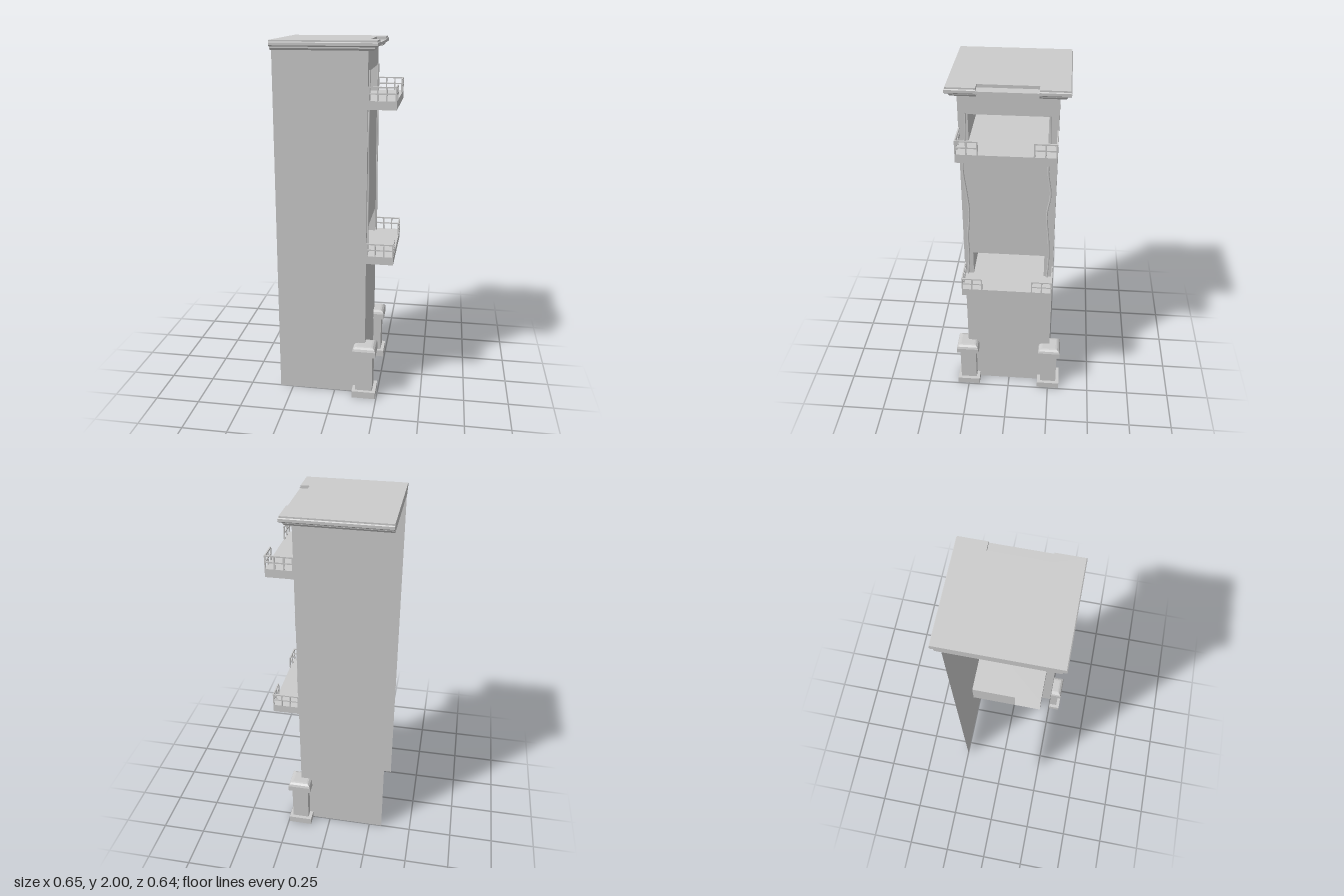
import * as THREE from 'three';

const material = new THREE.MeshStandardMaterial({ color: 0xcccccc, side: THREE.DoubleSide });

const BACK = -0.325, FACE = 0.176, HALF = 0.25;     // shell extents
const ROOM_BACK = -0.17, ROOM_HALF = 0.2;           // recessed rooms

function add(parent, name, geometry) {
  const mesh = new THREE.Mesh(geometry, material);
  mesh.name = name;
  parent.add(mesh);
  return mesh;
}

// box given by its minimum and maximum corners
function box(parent, name, x0, x1, y0, y1, z0, z1) {
  const mesh = add(parent, name, new THREE.BoxGeometry(x1 - x0, y1 - y0, z1 - z0));
  mesh.position.set((x0 + x1) / 2, (y0 + y1) / 2, (z0 + z1) / 2);
  return mesh;
}

// single-sheet panel through four corners
function panel(parent, name, a, b, c, d) {
  const g = new THREE.BufferGeometry();
  g.setAttribute('position', new THREE.Float32BufferAttribute([a, b, c, a, c, d].flat(), 3));
  g.computeVertexNormals();
  return add(parent, name, g);
}

// stacks an outline(offset) -> [[x, z], ...] along a profile of [y, offset]
function loft(outline, profile) {
  const pos = [];
  const rings = profile.map(([y, o]) => outline(o).map(([x, z]) => [x, y, z]));
  for (let i = 0; i + 1 < rings.length; i++) {
    const lo = rings[i], hi = rings[i + 1], n = lo.length;
    for (let j = 0; j < n; j++) {
      const k = (j + 1) % n;
      pos.push(...lo[j], ...hi[j], ...hi[k], ...lo[j], ...hi[k], ...lo[k]);
    }
  }
  // end caps
  [rings[0], rings[rings.length - 1]].forEach((ring, top) => {
    const flat = ring.map(([x, , z]) => new THREE.Vector2(x, z));
    for (const [a, b, c] of THREE.ShapeUtils.triangulateShape(flat, [])) {
      const p = ring[a], q = ring[b], r = ring[c];
      const up = (q[2] - p[2]) * (r[0] - p[0]) - (q[0] - p[0]) * (r[2] - p[2]) > 0;
      pos.push(...p, ...(up === !!top ? [...q, ...r] : [...r, ...q]));
    }
  });
  const g = new THREE.BufferGeometry();
  g.setAttribute('position', new THREE.Float32BufferAttribute(pos, 3));
  g.computeVertexNormals();
  return g;
}

// side walls and the pierced facade; the back stays open
function buildShell(parent, levels) {
  const top = 1.96;
  for (const [name, z] of [['frontWall', HALF], ['rearWall', -HALF]]) {
    panel(parent, name, [BACK, 0, z], [FACE, 0, z], [FACE, top, z], [BACK, top, z]);
  }
  const rect = (C, w, y0, y1) => new C([[-w, y0], [w, y0], [w, y1], [-w, y1]].map(p => new THREE.Vector2(...p)));
  const shape = rect(THREE.Shape, HALF, 0, top);
  for (const { floor, ceiling } of levels) shape.holes.push(rect(THREE.Path, ROOM_HALF, floor, ceiling));
  const facade = add(parent, 'facade', new THREE.ShapeGeometry(shape));
  facade.rotation.y = Math.PI / 2;
  facade.position.x = FACE;
}

// room behind each opening, with a gap in its back wall and a door
function buildRoom(parent, { floor: f, ceiling: c }) {
  const room = new THREE.Group();
  room.name = 'recessedRoom';
  const w = ROOM_HALF, b = ROOM_BACK;
  for (const [name, y] of [['roomFloor', f], ['roomCeiling', c]]) {
    panel(room, name, [b, y, w], [FACE, y, w], [FACE, y, -w], [b, y, -w]);
  }
  for (const z of [-w, w]) panel(room, 'roomSideWall', [b, f, z], [FACE, f, z], [FACE, c, z], [b, c, z]);
  panel(room, 'roomBackWall', [b, f, 0.05], [b, f, -w], [b, c, -w], [b, c, 0.05]);
  const t = c - 0.012, x = b + 0.01;
  box(room, 'doorLeaf', b, b + 0.004, f, t, -0.18, -0.1);
  box(room, 'doorJamb', b, x, f, t, -0.106, -0.096);
  box(room, 'doorJamb', b, x, f, t, -0.186, -0.176);
  box(room, 'doorHead', b, x, t - 0.01, t, -0.186, -0.096);
  box(room, 'doorPanel', b, b + 0.007, f + 0.02, t - 0.025, -0.165, -0.117);
  parent.add(room);
}

// balcony slab with a corner railing at each end
function buildBalcony(parent, { floor: f }) {
  const balcony = new THREE.Group();
  balcony.name = 'balcony';
  const out = 0.325, r = 0.007, h = 0.073;
  box(balcony, 'balconySlab', FACE, out, f - 0.045, f, -HALF, HALF);
  for (const s of [-1, 1]) {
    const span = (name, x0, x1, y0, y1, za, zb) =>
      box(balcony, name, x0, x1, y0, y1, Math.min(s * za, s * zb), Math.max(s * za, s * zb));
    for (const y of [f + 0.033, f + h - r]) {
      span('sideRail', FACE, out, y, y + r, HALF - r, HALF);
      span('frontRail', out - r, out, y, y + r, 0.135, HALF);
    }
    for (const x of [FACE, 0.222, 0.27, out - r]) span('sidePost', x, x + r, f, f + h, HALF - r, HALF);
    for (const z of [0.135, 0.19]) span('frontPost', out - r, out, f, f + h, z, z + r);
  }
  parent.add(balcony);
}

// pier wrapping a facade corner, L-shaped in plan
function buildPier(parent, s) {
  const outline = h => {
    const pts = [[0, 0], [-h, 0], [-h, h], [h, h], [h, -h], [0, -h]]
      .map(([x, z]) => [FACE + x, s * (HALF + z)]);
    return s > 0 ? pts.reverse() : pts;
  };
  const pier = new THREE.Group();
  pier.name = 'cornerPier';
  add(pier, 'pierBase', loft(outline, [[0, 0.068], [0.04, 0.068]]));
  add(pier, 'pierShaft', loft(outline, [[0.04, 0.048], [0.262, 0.048]]));
  add(pier, 'pierCap', loft(outline, [[0.262, 0.066], [0.295, 0.066], [0.308, 0.061], [0.316, 0.05], [0.318, 0.04]]));
  parent.add(pier);
}

// flat roof with a moulded edge, notched over the facade
function buildRoof(parent) {
  const outline = o => {
    const x = FACE + o, z = HALF + o, n = 0.152;
    return [[BACK, z], [x, z], [x, n], [FACE, n], [FACE, -n], [x, -n], [x, -z], [BACK, -z]].reverse();
  };
  add(parent, 'roofCornice', loft(outline, [
    [1.95, 0.03], [1.96, 0.036], [1.968, 0.036], [1.968, 0.048], [1.974, 0.054], [1.988, 0.054], [1.992, 0.049], [2, 0.049],
  ]));
  box(parent, 'notchLedge', FACE, 0.228, 1.97, 1.984, -0.152, 0.152);
}

// wavy cables hanging down the facade
function buildCables(parent) {
  const paths = [
    [[1.85, 0.212], [1.66, 0.222], [1.54, 0.236], [1.4, 0.222], [1.28, 0.212], [1.1, 0.224], [0.98, 0.222], [0.85, 0.232]],
    [[1.85, -0.205], [1.66, -0.212], [1.54, -0.205], [1.4, -0.222], [1.28, -0.206], [1.1, -0.22], [0.98, -0.224], [0.85, -0.218]],
  ];
  for (const path of paths) {
    const curve = new THREE.CatmullRomCurve3(path.map(([y, z]) => new THREE.Vector3(FACE + 0.005, y, z)));
    add(parent, 'hangingCable', new THREE.TubeGeometry(curve, 32, 0.005, 6));
  }
}

export function createModel() {
  const model = new THREE.Group();
  model.name = 'tower';
  const levels = [{ floor: 0.85, ceiling: 0.995 }, { floor: 1.698, ceiling: 1.843 }];
  buildShell(model, levels);
  for (const level of levels) {
    buildRoom(model, level);
    buildBalcony(model, level);
  }
  for (const s of [-1, 1]) buildPier(model, s);
  buildRoof(model);
  buildCables(model);
  return model;
}
